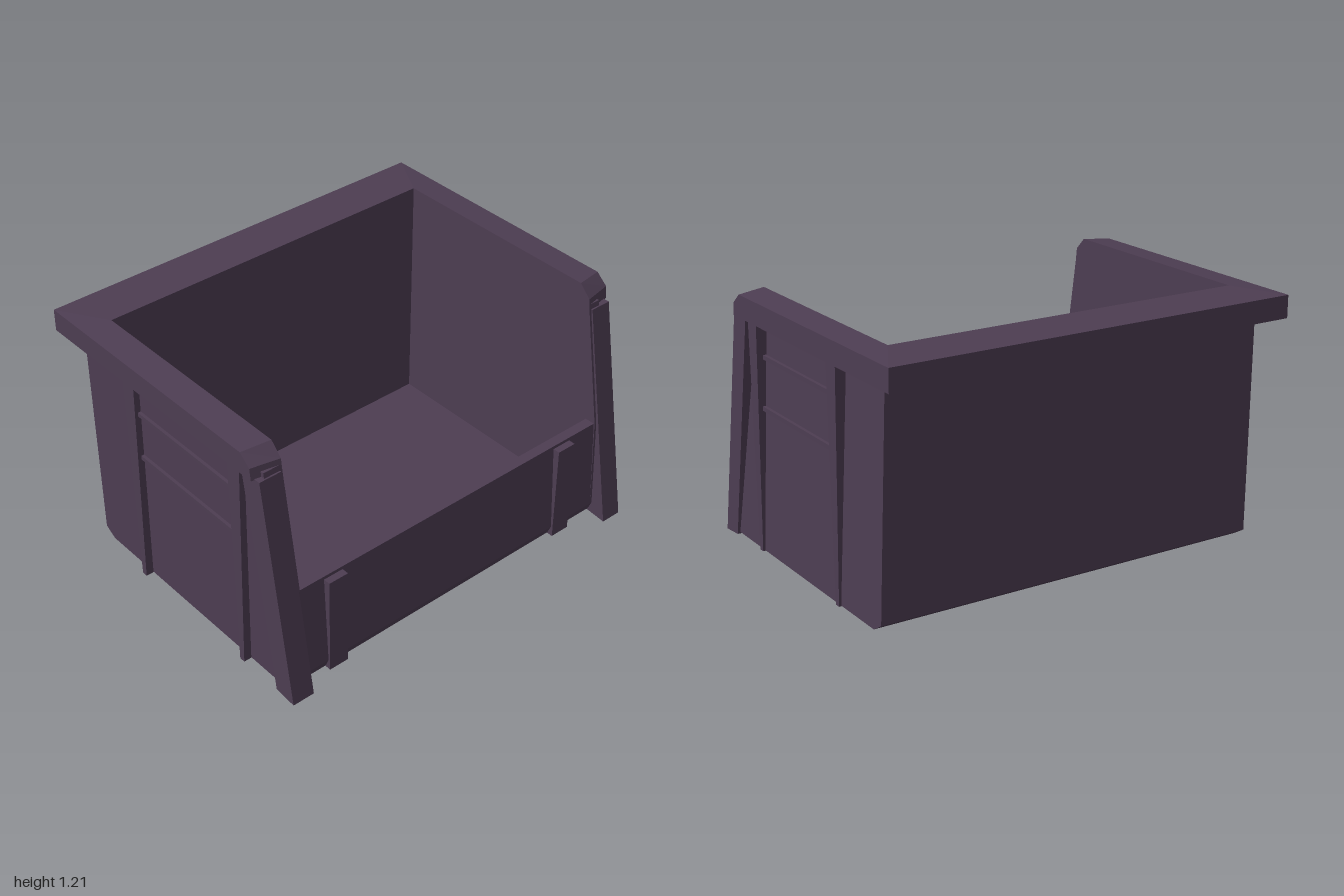
import * as THREE from 'three';

const plastic = new THREE.MeshStandardMaterial({ color: 0x4d3d52 });
plastic.name = 'dark purple plastic';

const shape = (pts) => new THREE.Shape(pts.map(([x, y]) => new THREE.Vector2(x, y)));

// Extrude an x-y outline between two z positions
function slab(pts, z0, z1) {
  const g = new THREE.ExtrudeGeometry(shape(pts), { depth: z1 - z0, bevelEnabled: false });
  return g.translate(0, 0, z0);
}

// Move every vertex by a rule, then recompute flat normals
function reshape(g, rule) {
  const p = g.attributes.position;
  const v = new THREE.Vector3();
  for (let i = 0; i < p.count; i++) {
    rule(v.fromBufferAttribute(p, i));
    p.setXYZ(i, v.x, v.y, v.z);
  }
  g.computeVertexNormals();
  return g;
}

export function createModel() {
  const bin = new THREE.Group();
  bin.name = 'storageBin';
  const add = (name, geometry) => {
    const m = new THREE.Mesh(geometry, plastic);
    m.name = name;
    bin.add(m);
  };
  const box = (name, x0, x1, y0, y1, z0, z1) =>
    add(name, new THREE.BoxGeometry(x1 - x0, y1 - y0, z1 - z0)
      .translate((x0 + x1) / 2, (y0 + y1) / 2, (z0 + z1) / 2));

  // Back wall, floor and low lip of the open end as one section
  add('backFloorAndLip', slab([
    [-0.64, 1.12], [-0.64, 0.055], [-0.58, 0.018], [0.69, 0.018], [0.71, 0.065],
    [0.685, 0.52], [0.635, 0.52], [0.635, 0.06], [-0.56, 0.06], [-0.56, 1.12],
  ], -0.872, 0.872));

  // Vertical ribs on the lip
  box('lipRib', 0.64, 0.72, 0.015, 0.505, 0.635, 0.735);
  box('lipRib', 0.64, 0.72, 0.015, 0.505, -0.705, -0.605);

  // Rim: U in plan, top falling slightly outward, ends chamfered
  const rim = new THREE.ExtrudeGeometry(shape([
    [-0.8, -1], [0.57, -1], [0.597, -0.865], [-0.56, -0.865],
    [-0.56, 0.865], [0.597, 0.865], [0.57, 1], [-0.8, 1],
  ]), { depth: 0.115, steps: 2, bevelEnabled: false });
  rim.rotateX(-Math.PI / 2).translate(0, 1.09, 0);
  add('rim', reshape(rim, (v) => {
    const outer = Math.abs(v.z) > 0.9;
    if (v.y > 1.2) {
      if (v.x > 0) v.x -= 0.064;
      if (outer) v.y = 1.195;
    } else if (v.y > 1.1 && v.x > 0) v.x -= 0.007;
  }));

  // Both sides: drafted wall, slanted end post, tapered ribs and ledges
  const sides = [
    { s: 1, top: 0.955, bottom: 0.945, postX: -0.01, postY: 0.015, out: 0.985 },
    { s: -1, top: 0.927, bottom: 0.968, postX: 0, postY: 0, out: 0.98 },
  ];
  for (const { s, top, bottom, postX, postY, out } of sides) {
    const wallZ = (y) => bottom + (top - bottom) * y / 1.09;
    const sideSlab = (pts, z0, z1) => (s > 0 ? slab(pts, z0, z1) : slab(pts, -z1, -z0));

    const wall = sideSlab([
      [-0.64, 1.12], [-0.64, 0.055], [-0.58, 0.018], [0.69, 0.018],
      [0.71, 0.065], [0.69, 0.52], [0.592, 1.12],
    ], 0.865, 1);
    add('sideWall', reshape(wall, (v) => {
      if (Math.abs(v.z) > 0.95) v.z = s * wallZ(v.y);
    }));

    add('endPost', sideSlab([
      [0.68 + postX, postY + 0.01], [0.792 + postX, postY],
      [0.604, 1.095], [0.49, 1.095],
    ], 0.876, out));

    for (const x of [-0.287, 0.432]) {
      add('sideRib', sideSlab([
        [x - 0.015, 0.015], [x + 0.013, 0.015], [x + 0.04, 1.092], [x - 0.04, 1.092],
      ], 0.875, out - 0.002));
    }

    for (const y of [0.685, 0.92]) {
      const z = wallZ(y) + 0.015;
      box('sideLedge', -0.27, 0.42, y, y + 0.02, s > 0 ? 0.88 : -z, s > 0 ? z : -0.88);
    }
  }
  return bin;
}
